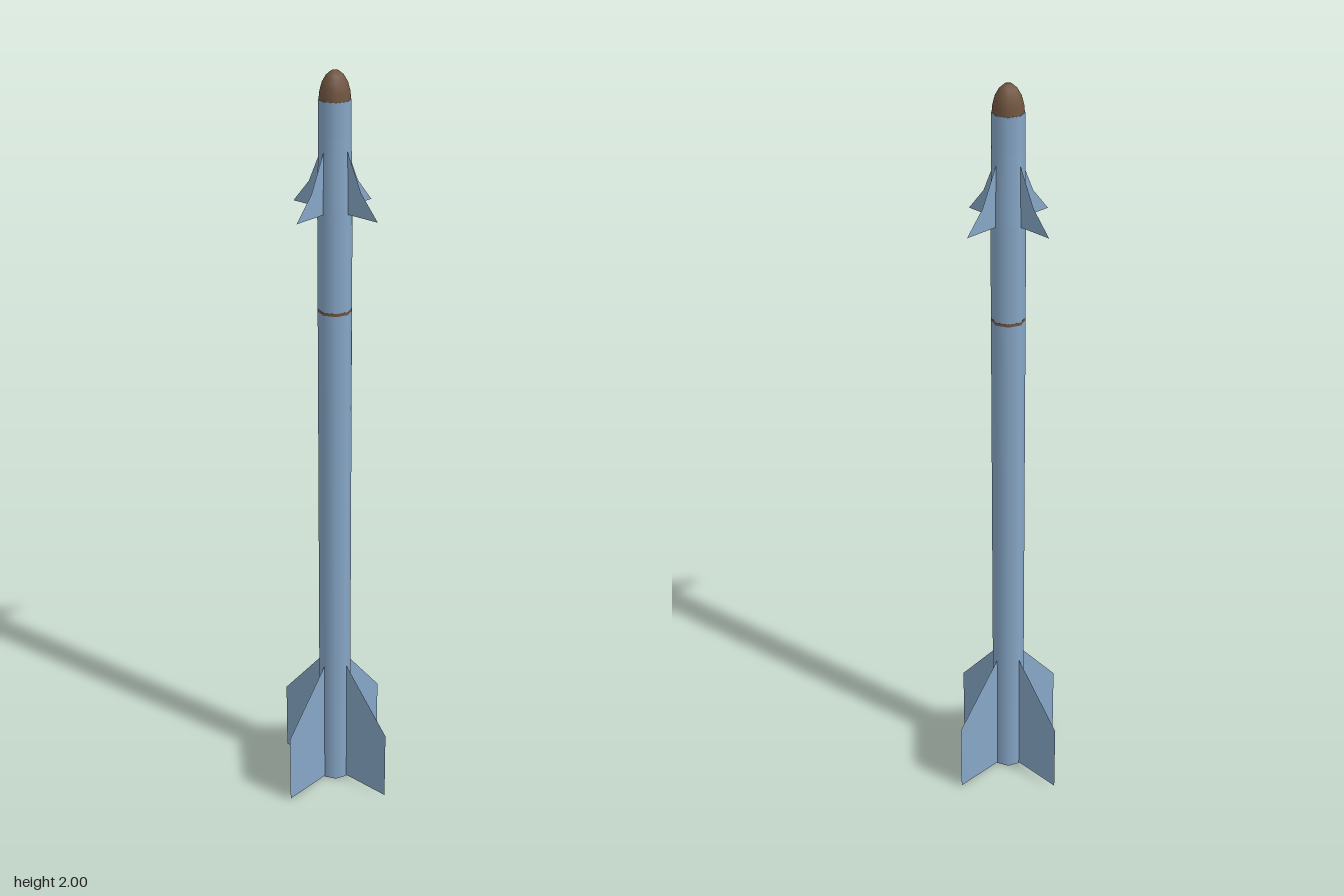
import * as THREE from 'three';

const SIDES = 8;
const blue = new THREE.MeshStandardMaterial({ color: 0x87a7c7 });
const brown = new THREE.MeshStandardMaterial({ color: 0x70543f });
const finBlue = new THREE.MeshStandardMaterial({ color: 0x87a7c7, side: THREE.DoubleSide });

const points = (list) => list.map(([x, y]) => new THREE.Vector2(x, y));

// Upright eight-sided tube section from y0 to y1
function section(name, r0, r1, y0, y1, material, open = false) {
  const geometry = new THREE.CylinderGeometry(r1, r0, y1 - y0, SIDES, 1, open);
  const mesh = new THREE.Mesh(geometry, material);
  mesh.position.y = (y0 + y1) / 2;
  mesh.name = name;
  return mesh;
}

// Four thin fins in a cross around the body
function finSet(name, outline) {
  const set = new THREE.Group();
  set.name = name + 's';
  const geometry = new THREE.ShapeGeometry(new THREE.Shape(points(outline)));
  for (let i = 0; i < 4; i++) {
    const fin = new THREE.Mesh(geometry, finBlue);
    fin.name = name;
    fin.rotation.y = (i * Math.PI) / 2;
    set.add(fin);
  }
  return set;
}

export function createModel() {
  const model = new THREE.Group();
  model.name = 'missile';

  // Body: long motor tube, thin joint band, guidance section and slimmer collar
  model.add(
    section('motorTube', 0.043, 0.043, 0, 1.396, blue),
    section('jointBand', 0.0432, 0.0432, 1.396, 1.404, brown),
    section('guidanceSection', 0.043, 0.043, 1.404, 1.66, blue),
    section('frontTaper', 0.043, 0.04, 1.66, 1.84, blue, true),
    section('seekerCollar', 0.04, 0.04, 1.84, 1.93, blue)
  );

  // Rounded nose
  const profile = points([[0.039, 1.928], [0.037, 1.95], [0.031, 1.972], [0.021, 1.989], [0.01, 1.998], [0, 2]]);
  const nose = new THREE.Mesh(new THREE.LatheGeometry(profile, SIDES), brown);
  nose.name = 'nose';
  model.add(nose);

  // Swept control fins near the nose and large clipped fins at the tail
  model.add(
    finSet('controlFin', [[0.03, 1.655], [0.137, 1.655], [0.085, 1.715], [0.043, 1.805], [0.03, 1.833]]),
    finSet('tailFin', [[0.03, 0.003], [0.185, 0.003], [0.185, 0.2], [0.043, 0.368], [0.03, 0.383]])
  );
  return model;
}
